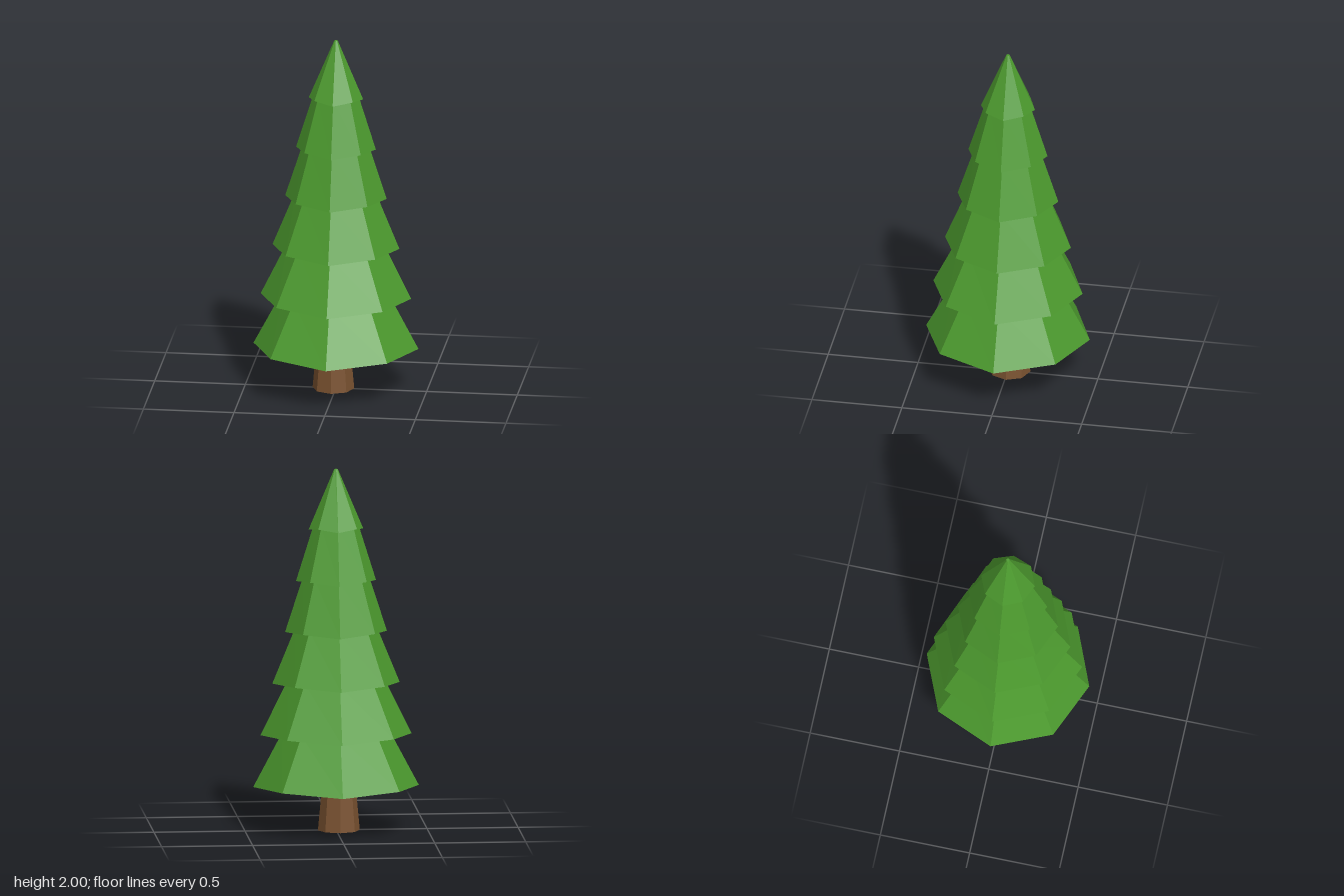
import * as THREE from 'three';

const SIDES = 8;

// Faceted eight-sided solid of revolution; each point is [radius, y, lift],
// lift raises every second corner so the branch rims zigzag gently
function faceted(name, points, color) {
  const lathe = new THREE.LatheGeometry(points.map(([r, y]) => new THREE.Vector2(r, y)), SIDES);
  const pos = lathe.attributes.position;
  for (let i = 0; i < pos.count; i++) {
    const side = Math.floor(i / points.length);
    const lift = points[i % points.length][2] ?? 0;
    if (side % 2) pos.setY(i, pos.getY(i) + lift);
  }
  const geometry = lathe.toNonIndexed();
  geometry.computeVertexNormals();
  const material = new THREE.MeshStandardMaterial({ color, flatShading: true });
  const mesh = new THREE.Mesh(geometry, material);
  mesh.name = name;
  return mesh;
}

export function createModel() {
  const tree = new THREE.Group();
  tree.name = 'pineTree';

  // Branch tiers: rim radius, rim height, radius where the next tier begins
  const tiers = [
    [0.455, 0.243, 0.292],
    [0.415, 0.53, 0.265],
    [0.35, 0.815, 0.225],
    [0.28, 1.1, 0.182],
    [0.22, 1.382, 0.124],
    [0.15, 1.668, 0.01],
  ];
  const profile = [[0, 0.31]];
  tiers.forEach(([rim, y, neck], i) => {
    profile.push([rim, y, 0.014]);
    const next = tiers[i + 1];
    // the underside of each tier slopes up toward the neck
    profile.push(next ? [neck, next[1] + 0.02, 0.005] : [neck, 2]);
  });
  profile.push([0, 2]);
  tree.add(faceted('branches', profile, 0x4c9a2e));

  // Tapered trunk, slightly off centre, reaching up inside the lowest tier
  const trunk = faceted('trunk', [[0, 0], [0.115, 0], [0.092, 0.25], [0.088, 0.33], [0, 0.33]], 0x7a5230);
  trunk.position.set(-0.015, 0, -0.007);
  tree.add(trunk);

  return tree;
}
